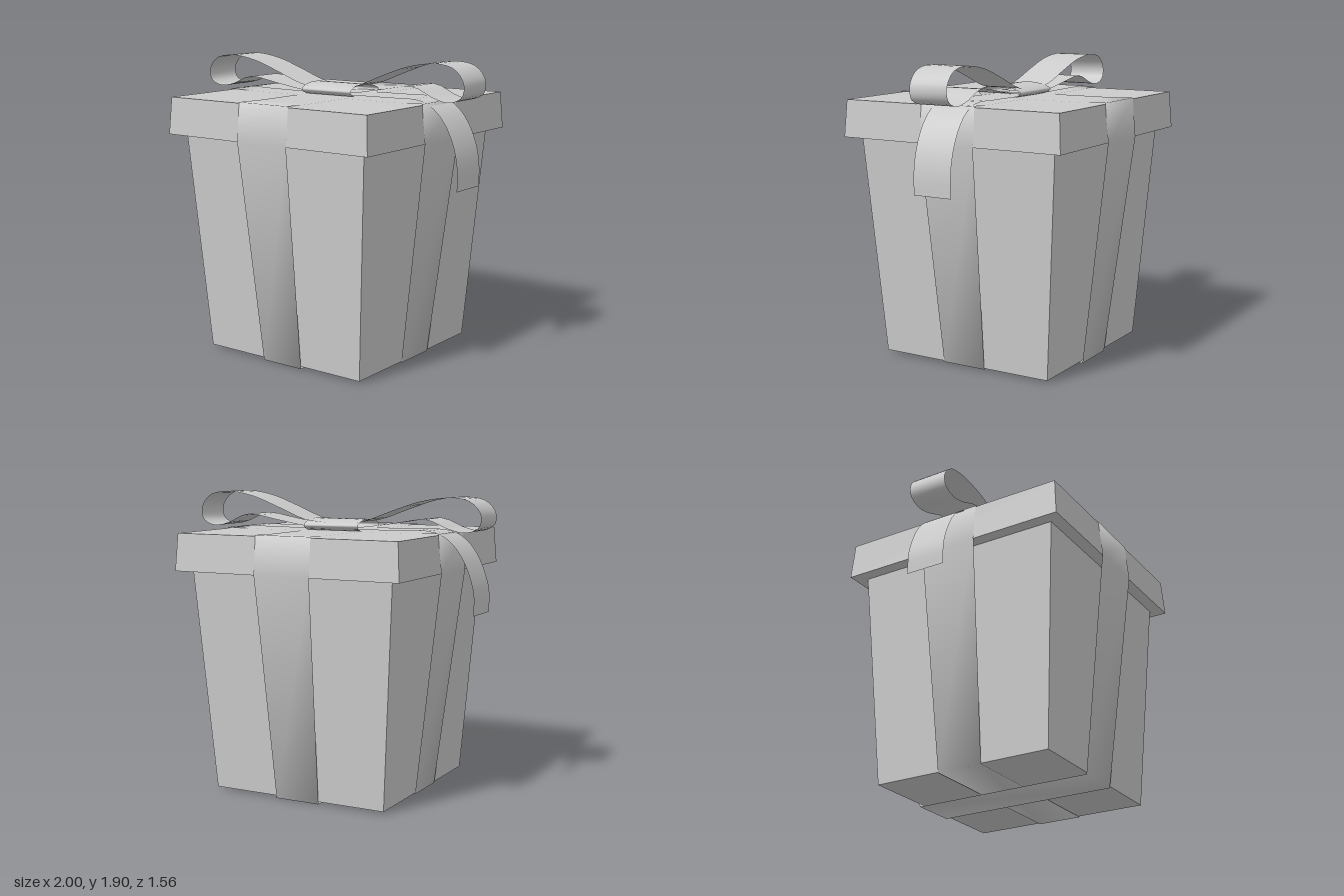
import * as THREE from 'three';

const CX = 0.01; // the box sits slightly off the bow's centre

function grey(opts = {}) {
  return new THREE.MeshStandardMaterial({ color: 0xcccccc, ...opts });
}

// Square tapered block from half-widths and heights
function taperedBox(name, halfBottom, halfTop, y0, y1) {
  const g = new THREE.CylinderGeometry(halfTop * Math.SQRT2, halfBottom * Math.SQRT2, y1 - y0, 4);
  g.rotateY(Math.PI / 4);
  g.translate(CX, (y0 + y1) / 2, 0);
  const m = new THREE.Mesh(g, grey({ flatShading: true }));
  m.name = name;
  return m;
}

// Thin sheet along x through [x, y, zFront, zBack] stations
function ribbon(name, stations, closed = false) {
  const pos = [], idx = [], n = stations.length;
  for (const [x, y, zf, zb] of stations) pos.push(x, y, zf, x, y, zb);
  for (let i = 0; i < (closed ? n : n - 1); i++) {
    const a = 2 * i, b = 2 * ((i + 1) % n);
    idx.push(a, b, a + 1, b, b + 1, a + 1);
  }
  const g = new THREE.BufferGeometry();
  g.setAttribute('position', new THREE.Float32BufferAttribute(pos, 3));
  g.setIndex(idx);
  g.computeVertexNormals();
  const m = new THREE.Mesh(g, grey({ side: THREE.DoubleSide }));
  m.name = name;
  return m;
}

// Smooth 2D path turned into stations of constant width
function smoothStations(points, count, zf, zb, closed = false) {
  const c = new THREE.CatmullRomCurve3(points.map(([x, y]) => new THREE.Vector3(x, y, 0)), closed);
  const pts = c.getPoints(count);
  if (closed) pts.pop();
  return pts.map((p) => [p.x, p.y, zf, zb]);
}

// Band wrapped round the whole box
function wrapBand(name, bottomY) {
  const half = [
    [0.57, 1.657, 0.19], [0.755, 1.662, 0.19], [0.778, 1.42, 0.19], [0.6, bottomY, 0.15],
  ];
  const right = half.map(([x, y, w]) => [x, y, w, -w]);
  const left = half.map(([x, y, w]) => [-x, y, w, -w]).reverse();
  return ribbon(name, [...left, ...right], true);
}

export function createModel() {
  const model = new THREE.Group();
  model.name = 'giftBox';

  // Box and overhanging lid
  model.add(taperedBox('boxBody', 0.595, 0.69, 0.015, 1.42));
  model.add(taperedBox('boxLid', 0.77, 0.755, 1.42, 1.655));

  // Crossing bands
  const sideBand = wrapBand('sideBand', 0.01);
  sideBand.position.x = CX;
  const frontBand = wrapBand('frontBand', 0);
  frontBand.rotation.y = -Math.PI / 2;
  frontBand.position.x = CX;
  model.add(sideBand, frontBand);

  // Bow loops and hanging tails on both sides
  const loopPath = [
    [0.05, 1.71], [0.2, 1.725], [0.4, 1.8], [0.6, 1.87], [0.8, 1.897], [0.93, 1.87], [0.995, 1.79],
    [0.985, 1.71], [0.9, 1.67], [0.79, 1.69], [0.64, 1.75], [0.42, 1.72], [0.2, 1.685], [0.05, 1.68],
  ];
  const tailPath = [
    [0.05, 1.668], [0.45, 1.672], [0.7, 1.668], [0.8, 1.62], [0.88, 1.53], [0.94, 1.4], [0.965, 1.27], [0.965, 1.14],
  ];
  for (const [side, s, zf, zb, squash, drop] of [
    ['left', 1, 0.105, -0.155, 1, 0], ['right', -1, 0.125, -0.135, 0.92, 0.03],
  ]) {
    const loop = loopPath.map(([x, y]) => [s * x, 1.67 + (y - 1.67) * squash]);
    model.add(ribbon(side + 'BowLoop', smoothStations(loop, 40, zf, zb)));
    const tail = tailPath.map(([x, y]) => [s * x, y < 1.3 ? y + drop : y]);
    model.add(ribbon(side + 'BowTail', smoothStations(tail, 24, 0.108, -0.153)));
  }

  // Flattened knot band, open at its ends
  const knotPath = [
    [-0.11, 1.715], [0, 1.73], [0.11, 1.718], [0.155, 1.69], [0.11, 1.66], [0, 1.657], [-0.11, 1.66], [-0.155, 1.69],
  ];
  const knot = ribbon('bowKnot', smoothStations(knotPath, 32, 0.193, -0.193, true), true);
  knot.rotation.y = -Math.PI / 2;
  knot.position.set(CX, 0, -0.01);
  model.add(knot);

  return model;
}
